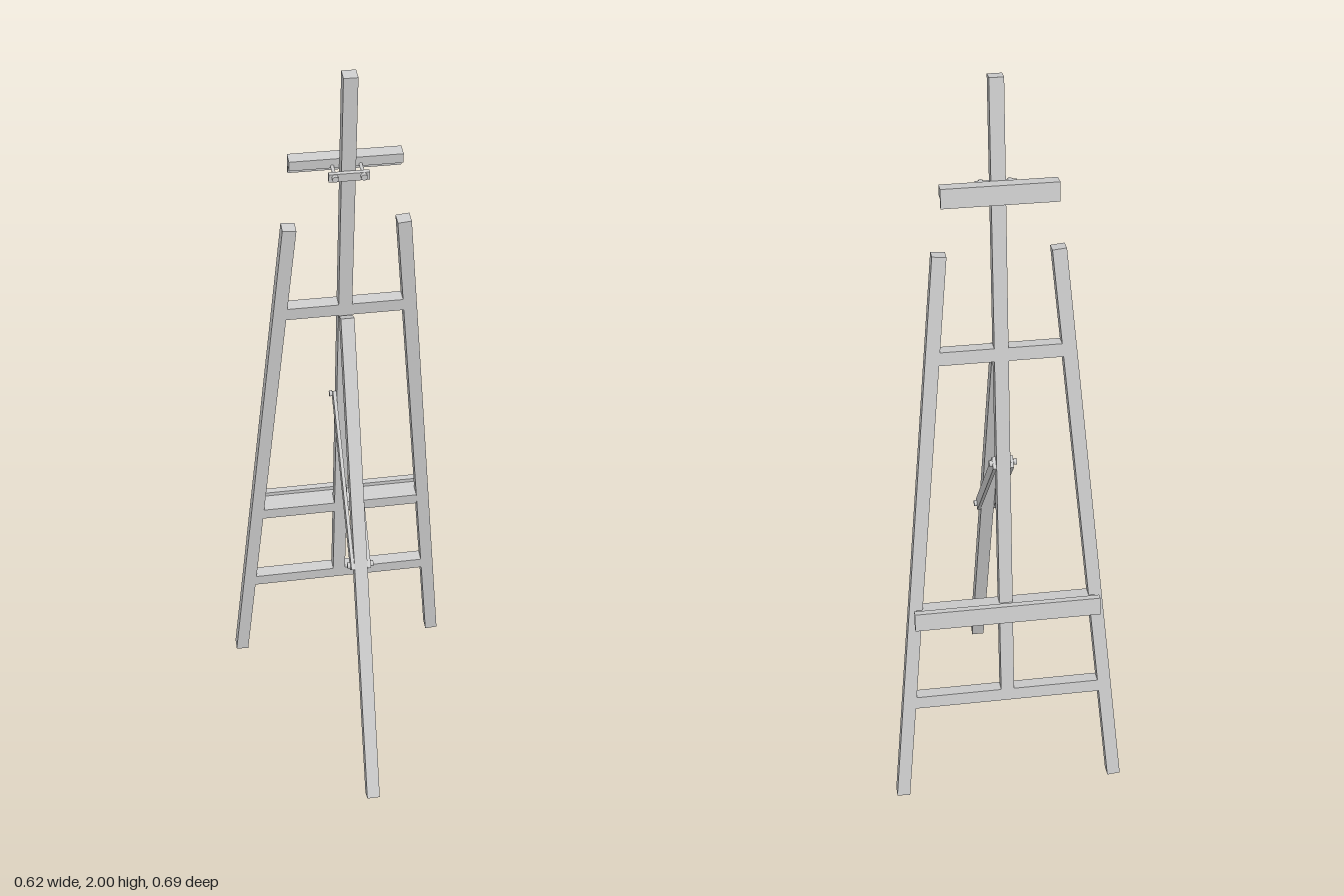
import * as THREE from 'three';

const material = new THREE.MeshStandardMaterial({ color: 0xcccccc, flatShading: true });
const W = 0.035; // timber thickness

function box(parent, name, w, h, d, x, y, z) {
  const mesh = new THREE.Mesh(new THREE.BoxGeometry(w, h, d), material);
  mesh.name = name;
  mesh.position.set(x, y, z);
  parent.add(mesh);
  return mesh;
}

// Straight bar between two points; w is its x size, d its depth
function bar(parent, name, a, b, w, d) {
  const from = new THREE.Vector3(...a), to = new THREE.Vector3(...b);
  const dir = to.clone().sub(from);
  const mid = from.clone().add(to).multiplyScalar(0.5);
  const mesh = box(parent, name, w, dir.length(), d, mid.x, mid.y, mid.z);
  mesh.quaternion.setFromUnitVectors(new THREE.Vector3(0, 1, 0), dir.normalize());
  return mesh;
}

// Round rod along x or z
function rod(parent, name, axis, r, length, x, y, z) {
  const geometry = new THREE.CylinderGeometry(r, r, length, 12);
  if (axis === 'x') geometry.rotateZ(Math.PI / 2);
  else geometry.rotateX(Math.PI / 2);
  const mesh = new THREE.Mesh(geometry, material);
  mesh.name = name;
  mesh.position.set(x, y, z);
  parent.add(mesh);
}

export function createModel() {
  const easel = new THREE.Group();
  easel.name = 'easel';

  // Leaning frame, built upright and then tilted back
  const frame = new THREE.Group();
  frame.name = 'frame';
  const tilt = Math.atan(0.138);
  frame.rotation.x = tilt;
  frame.position.set(0, 0, -0.33);
  easel.add(frame);
  const up = (y) => y / Math.cos(tilt); // distance along the slope for a height

  for (const s of [-1, 1]) {
    bar(frame, s > 0 ? 'leftLeg' : 'rightLeg', [s * 0.293, up(0.022), 0], [s * 0.144, up(1.578), 0], W, W);
  }
  const mastBottom = up(0.335), mastTop = up(1.998);
  box(frame, 'mast', W, mastTop - mastBottom, W, 0, (mastTop + mastBottom) / 2, 0);
  box(frame, 'upperCrossbar', 0.316, W, W, 0, up(1.316), 0);
  box(frame, 'lowerCrossbar', 0.512, W, W, 0, up(0.322), 0);

  // Canvas tray with a raised lip
  box(frame, 'trayShelf', 0.47, 0.034, 0.056, 0, up(0.594), -0.013);
  box(frame, 'trayLip', 0.486, 0.05, 0.017, 0, up(0.598), -0.048);

  // Top clamp: grooved rail in front, plate behind, joined by bolts
  const clampY = up(1.732);
  box(frame, 'clampRail', 0.28, 0.026, W, 0, clampY + 0.011, -0.035);
  box(frame, 'clampLip', 0.28, 0.048, 0.011, 0, clampY, -0.047);
  box(frame, 'clampPlate', 0.1, 0.022, 0.011, 0, clampY, 0.023);
  for (const s of [-1, 1]) {
    rod(frame, 'clampBolt', 'z', 0.0045, 0.064, s * 0.035, clampY + 0.003, 0);
    rod(frame, 'clampBoltHead', 'z', 0.008, 0.01, s * 0.035, clampY + 0.003, 0.034);
  }

  // Rear prop leg
  bar(easel, 'rearLeg', [0, 0.006, 0.329], [0, 1.305, -0.11], W, W);

  // Paired braces linking the rear leg to the mast
  for (const s of [-1, 1]) {
    bar(easel, 'brace', [s * 0.022, 0.652, 0.117], [s * 0.022, 1.018, -0.196], 0.009, 0.032);
  }
  for (const [y, z] of [[0.662, 0.109], [1.015, -0.193]]) {
    rod(easel, 'braceBolt', 'x', 0.005, 0.068, 0, y, z);
    for (const s of [-1, 1]) rod(easel, 'braceBoltHead', 'x', 0.008, 0.008, s * 0.031, y, z);
  }
  return easel;
}
